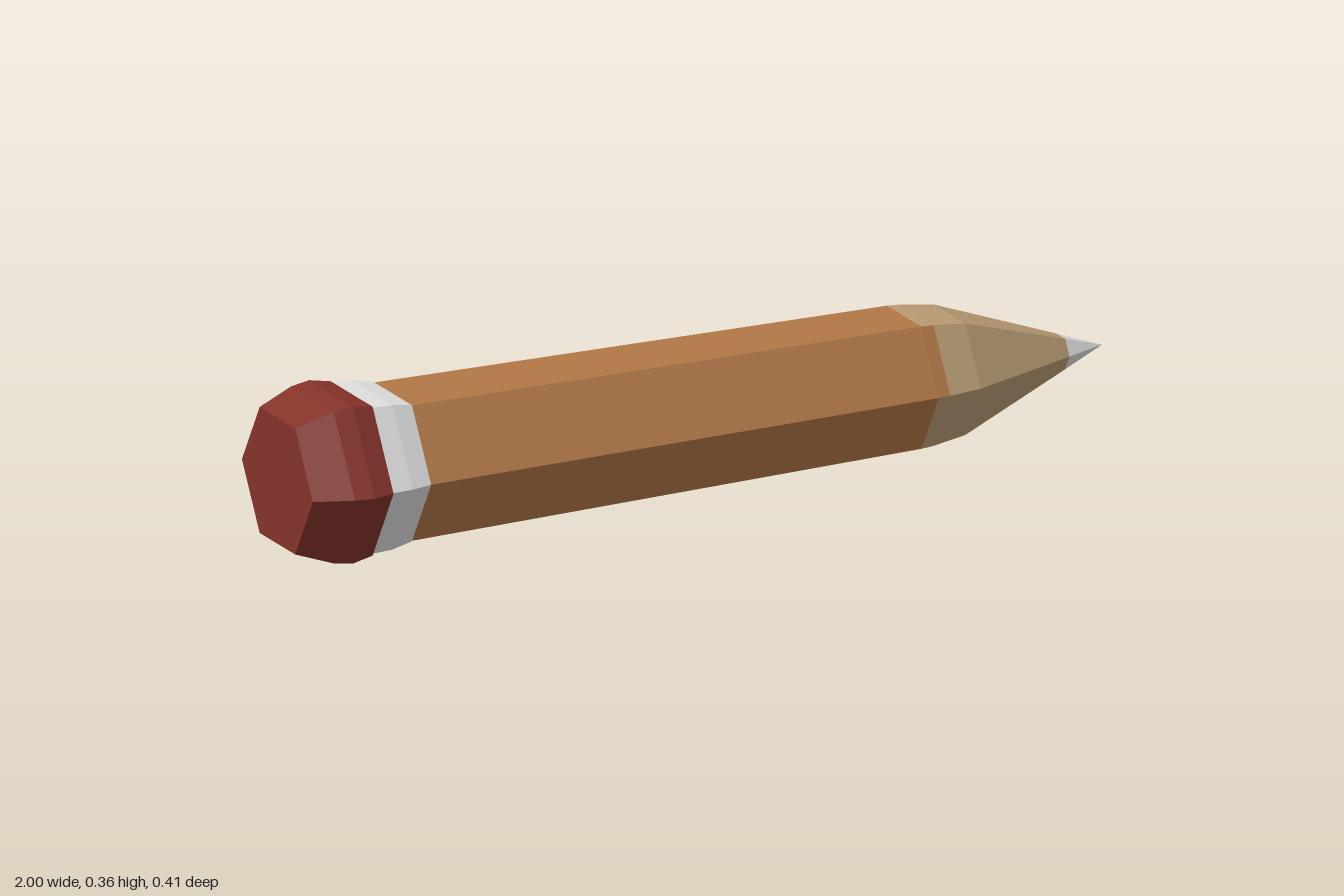
import * as THREE from 'three';

const AXIS_Y = 0.178; // height of the pencil's long axis
const SIDE = Math.PI / 3;

const material = (name, color) => {
  const m = new THREE.MeshStandardMaterial({ color });
  m.name = name;
  return m;
};

// Hexagonal section along x from [x, radius] pairs, with flat-shaded sides
function hexSection(name, profile, mat, firstSide = 0, sides = 6) {
  const points = profile.map(([x, r]) => new THREE.Vector2(r, x));
  const geometry = new THREE.LatheGeometry(points, sides, firstSide * SIDE, sides * SIDE)
    .rotateZ(-Math.PI / 2)
    .toNonIndexed();
  geometry.computeVertexNormals();
  const mesh = new THREE.Mesh(geometry, mat);
  mesh.name = name;
  mesh.position.y = AXIS_Y;
  return mesh;
}

export function createModel() {
  const rubber = material('red rubber', 0x85332a);
  const silver = material('silver', 0xe0e0e0);
  const paint = material('orange brown paint', 0xb27848);
  const wood = material('bare wood', 0xbb9d75);

  const pencil = new THREE.Group();
  pencil.name = 'pencil';

  // Eraser with a flat end and a bulging rim
  pencil.add(hexSection('eraser',
    [[-1, 0], [-1, 0.165], [-0.915, 0.198], [-0.87, 0.205], [-0.82, 0.195], [-0.82, 0.19]], rubber));

  // Metal band
  pencil.add(hexSection('ferrule', [[-0.82, 0.191], [-0.77, 0.189], [-0.72, 0.178]], silver));

  // Painted shaft, tapering slightly
  pencil.add(hexSection('shaft', [[-0.72, 0.177], [0.52, 0.16]], paint));

  // Uneven edge of the paint: it runs further on the upper front side
  for (let side = 0; side < 6; side++) {
    pencil.add(hexSection(`paintEdge${side + 1}`, [[0.52, 0.16], [0.55, 0.158]],
      side === 5 ? paint : wood, side, 1));
  }

  // Sharpened wood and the lead point
  pencil.add(hexSection('sharpenedWood', [[0.55, 0.158], [0.63, 0.146], [0.9, 0.04]], wood));
  pencil.add(hexSection('leadTip', [[0.9, 0.04], [1, 0]], silver));

  return pencil;
}
